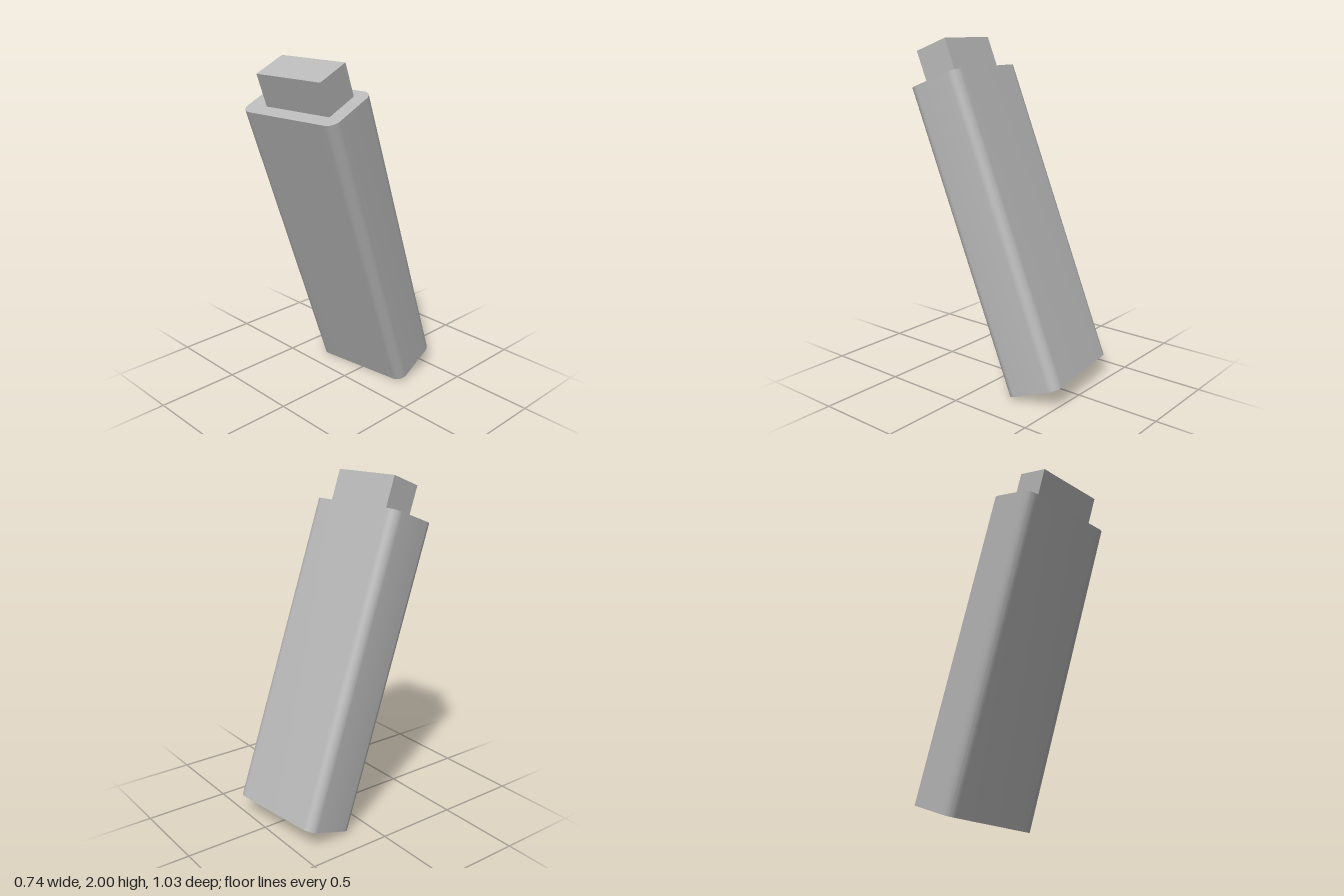
import * as THREE from 'three';
import { toCreasedNormals } from 'three/addons/utils/BufferGeometryUtils.js';

const W = 0.637, D = 0.347, H = 1.84, R = 0.06;

// Upright prism with a rounded-rectangle footprint, centred on the origin
function roundedPrism(w, d, h, r) {
  const x = w / 2, y = d / 2;
  const s = new THREE.Shape();
  s.absarc(x - r, y - r, r, 0, Math.PI / 2);
  s.absarc(-x + r, y - r, r, Math.PI / 2, Math.PI);
  s.absarc(-x + r, -y + r, r, Math.PI, Math.PI * 1.5);
  s.absarc(x - r, -y + r, r, Math.PI * 1.5, Math.PI * 2);
  s.closePath();
  const geo = new THREE.ExtrudeGeometry(s, { depth: h, bevelEnabled: false, curveSegments: 10 });
  geo.translate(0, 0, -h / 2);
  geo.rotateX(-Math.PI / 2);
  return toCreasedNormals(geo, 0.5);
}

export function createModel() {
  const grey = new THREE.MeshStandardMaterial({ color: 0xb8b8b8 });
  grey.name = 'plain grey';

  // Whole stick leans forward and is turned slightly
  const stick = new THREE.Group();
  stick.name = 'tiltedStick';
  stick.rotation.set(THREE.MathUtils.degToRad(20.7), 0.128, 0, 'YXZ');
  stick.position.y = 0.922;

  const body = new THREE.Mesh(roundedPrism(W, D, H, R), grey);
  body.name = 'body';

  // Square-edged connector, slightly off centre on the top face
  const plugHeight = 0.194;
  const plug = new THREE.Mesh(new THREE.BoxGeometry(0.43, plugHeight, 0.211), grey);
  plug.name = 'connector';
  plug.position.set(0.021, H / 2 + plugHeight / 2, -0.008);

  stick.add(body, plug);
  const model = new THREE.Group();
  model.name = 'plugInStick';
  model.add(stick);
  return model;
}
